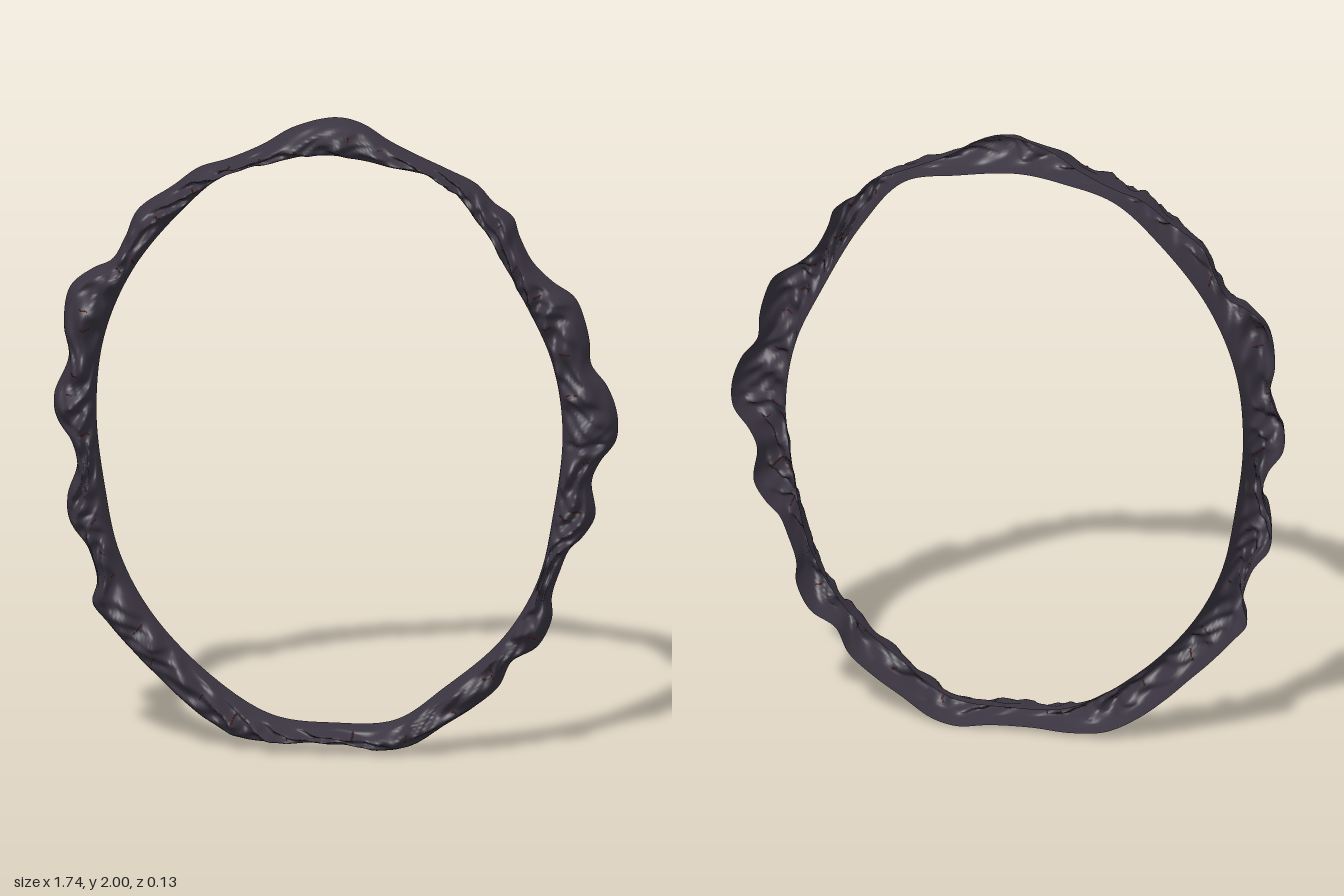
import * as THREE from 'three';

// Rim outlines, clockwise from the top: x, y pairs
const OUTER = [
  0, 2, .08, 1.985, .17, 1.93, .25, 1.89, .35, 1.845, .44, 1.8, .49, 1.745, .55, 1.7, .57, 1.64, .61, 1.56,
  .67, 1.5, .74, 1.45, .77, 1.38, .785, 1.31, .79, 1.24, .84, 1.17, .87, 1.08, .865, 1, .815, .93, .79, .87,
  .8, .76, .76, .69, .72, .65, .69, .58, .665, .5, .665, .43, .62, .34, .54, .29, .5, .21, .42, .14,
  .33, .08, .24, .02, .16, 0, .05, .015, -.08, .02, -.2, .015, -.31, .03, -.41, .085, -.5, .16, -.57, .23,
  -.64, .3, -.71, .38, -.755, .44, -.74, .51, -.77, .62, -.825, .7, -.83, .78, -.8, .88, -.82, .96, -.865, 1.03,
  -.87, 1.1, -.825, 1.22, -.84, 1.32, -.82, 1.44, -.75, 1.5, -.69, 1.53, -.65, 1.6, -.61, 1.69, -.5, 1.77,
  -.42, 1.83, -.33, 1.86, -.22, 1.91, -.13, 1.965,
];
const INNER = [
  -.03, 1.88, .16, 1.855, .33, 1.815, .46, 1.66, .59, 1.42, .67, 1.235, .7, 1.02, .67, .76, .62, .545, .51, .36,
  .33, .2, .18, .095, -.01, .08, -.2, .1, -.39, .22, -.57, .41, -.67, .6, -.715, .81, -.74, 1.05,
  -.715, 1.285, -.625, 1.5, -.465, 1.7, -.33, 1.815, -.175, 1.86,
];
const TAU = Math.PI * 2;

// Radius of an outline, measured from (0, 1), as a function of the angle
function radiusFunction(flat) {
  const points = [];
  for (let i = 0; i < flat.length; i += 2) points.push(new THREE.Vector3(flat[i], flat[i + 1], 0));
  const N = 720, table = new Array(N);
  const samples = new THREE.CatmullRomCurve3(points, true, 'centripetal').getPoints(6000);
  for (const p of samples) {
    const a = (Math.atan2(p.y - 1, p.x) + TAU) % TAU;
    table[Math.round(a / TAU * N) % N] = Math.hypot(p.x, p.y - 1);
  }
  for (let i = 0; i < N; i++) table[i] ??= table[(i + N - 1) % N];
  return a => {
    const t = (((a / TAU) % 1) + 1) % 1 * N, i = Math.floor(t) % N;
    return THREE.MathUtils.lerp(table[i], table[(i + 1) % N], t - Math.floor(t));
  };
}

// Arched cross-section: u (0 outer rim, 1 inner rim), height above the back
const ARCH = new THREE.SplineCurve([[0, 0], [.07, .035], [.18, .07], [.38, .095], [.62, .097], [.83, .07], [.94, .035], [1, 0]]
  .map(([u, h]) => new THREE.Vector2(u, h)));

// Twisted, rope-like rock relief that repeats around the ring
function relief(a, u) {
  const warp = 1.3 * Math.sin(5 * a + 4 * u) + .9 * Math.sin(13 * a - 3 * u);
  const ridge = 1 - 2 * Math.abs(Math.sin(15 * a + 5 * u + warp));
  return .013 * ridge + .011 * Math.sin(43 * a + 8 * u + warp)
    + .007 * Math.sin(71 * a - 9 * u + 2 * warp) + .006 * Math.sin(9 * a + 14 * u + warp);
}

const outerRadius = radiusFunction(OUTER), innerRadius = radiusFunction(INNER);

function surfacePoint(a, t) {
  const { x: u, y: h } = ARCH.getPoint(t);
  const fade = Math.min(1, h / .09) ** 2;
  const r = THREE.MathUtils.lerp(outerRadius(a), innerRadius(a), u);
  const seam = .02 * fade * Math.exp(-((Math.sin(a / 2) / .006) ** 2));
  const z = -.07 + h + fade * relief(a, u) - seam;
  return new THREE.Vector3(r * Math.cos(a), 1 + r * Math.sin(a), Math.min(z, .07));
}

// Hollow shell, open at the back
function shellGeometry(around = 600, across = 28) {
  const positions = [], index = [];
  for (let i = 0; i < around; i++) {
    for (let j = 0; j <= across; j++) positions.push(...surfacePoint(i / around * TAU, j / across));
  }
  const at = (i, j) => (i % around) * (across + 1) + j;
  for (let i = 0; i < around; i++) {
    for (let j = 0; j < across; j++) {
      const a = at(i, j), b = at(i + 1, j), c = at(i + 1, j + 1), d = at(i, j + 1);
      index.push(a, b, d, b, c, d);
    }
  }
  const geometry = new THREE.BufferGeometry();
  geometry.setAttribute('position', new THREE.Float32BufferAttribute(positions, 3));
  geometry.setIndex(index);
  geometry.computeVertexNormals();
  return geometry;
}

export function createModel() {
  const group = new THREE.Group();
  group.name = 'rockRing';
  const rock = new THREE.MeshStandardMaterial({ color: 0x3b3541, side: THREE.DoubleSide });
  const glow = new THREE.MeshStandardMaterial({ color: 0x8a3020 });

  const shell = new THREE.Mesh(shellGeometry(), rock);
  shell.name = 'rockShell';
  group.add(shell);

  // Fine glowing cracks scattered over the front
  let seed = 7;
  const random = () => (seed = (seed * 16807) % 2147483647) / 2147483647;
  const cracks = new THREE.Group();
  cracks.name = 'glowingCracks';
  for (let i = 0; i < 44; i++) {
    const a = (i + random()) / 44 * TAU, t = .3 + .3 * random();
    const da = .03 * (random() - .5), dt = .06 + .12 * random();
    const points = [0, 1, 2, 3, 4].map(k =>
      surfacePoint(a + da * k / 4 + .006 * (random() - .5), t + dt * k / 4));
    const crack = new THREE.Mesh(
      new THREE.TubeGeometry(new THREE.CatmullRomCurve3(points), 10, .0018, 4), glow);
    crack.name = 'crack';
    cracks.add(crack);
  }
  group.add(cracks);
  return group;
}
